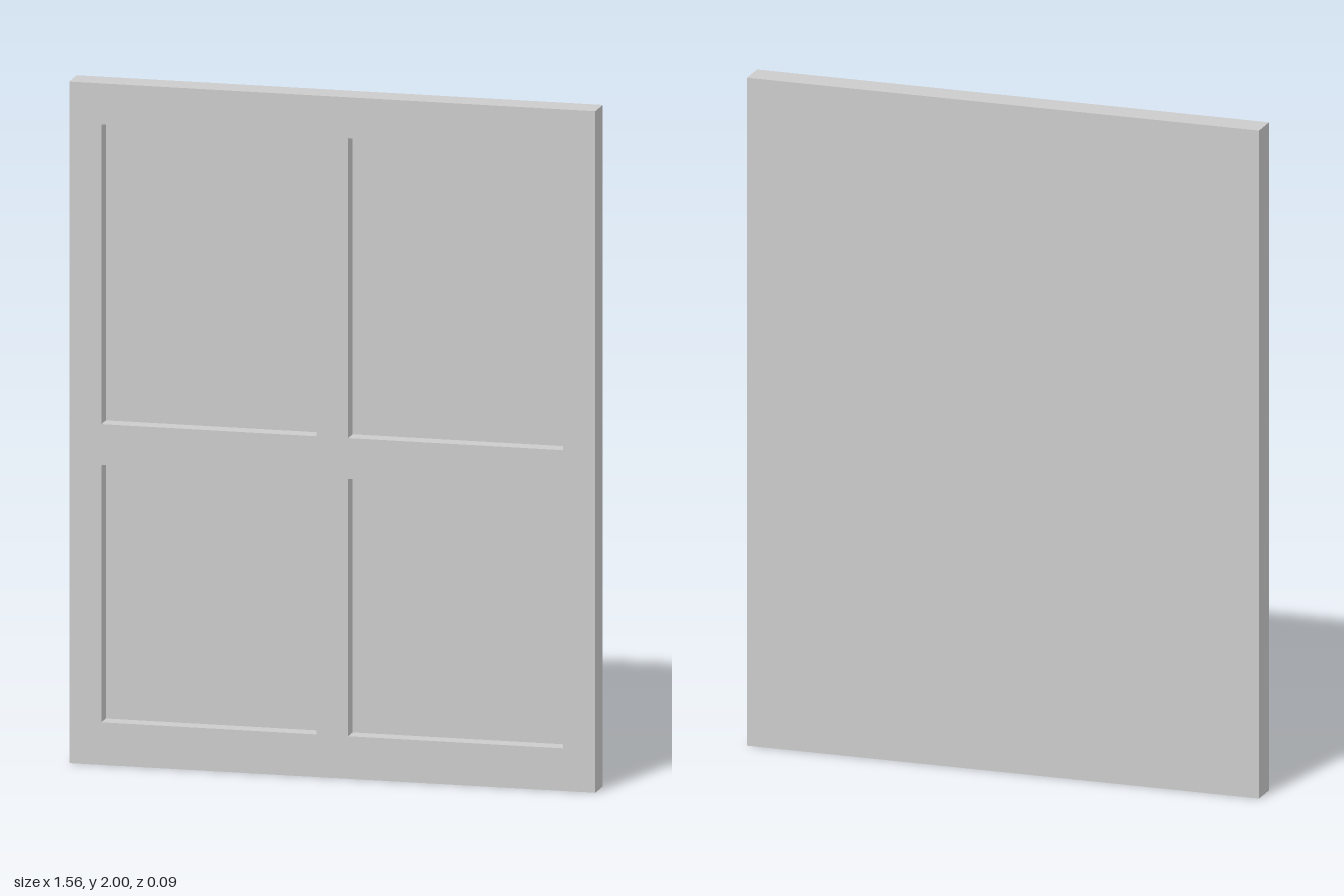
import * as THREE from 'three';

const W = 1.556, H = 2, D = 0.086, RECESS = 0.052;

// Adds a closed rectangle to a shape or path
function rect(path, x0, y0, x1, y1) {
  path.moveTo(x0, y0);
  path.lineTo(x1, y0);
  path.lineTo(x1, y1);
  path.lineTo(x0, y1);
  path.closePath();
  return path;
}

export function createModel() {
  const group = new THREE.Group();
  group.name = 'panelledDoor';
  const material = new THREE.MeshStandardMaterial({ color: 0xcccccc, flatShading: true });

  // Front frame: stiles and rails around four rectangular openings
  const outline = rect(new THREE.Shape(), -W / 2, 0, W / 2, H);
  for (const [y0, y1] of [[0.125, 0.88], [1.0, 1.88]]) {
    for (const [x0, x1] of [[-0.683, -0.047], [0.047, 0.683]]) {
      outline.holes.push(rect(new THREE.Path(), x0, y0, x1, y1));
    }
  }
  const frame = new THREE.Mesh(
    new THREE.ExtrudeGeometry(outline, { depth: RECESS, bevelEnabled: false }), material);
  frame.name = 'frontFrame';
  frame.position.z = D / 2 - RECESS;
  group.add(frame);

  // Solid back slab, seen as the floor of each recess
  const slab = new THREE.Mesh(new THREE.BoxGeometry(W, H, D - RECESS), material);
  slab.name = 'backSlab';
  slab.position.set(0, H / 2, -RECESS / 2);
  group.add(slab);

  return group;
}
